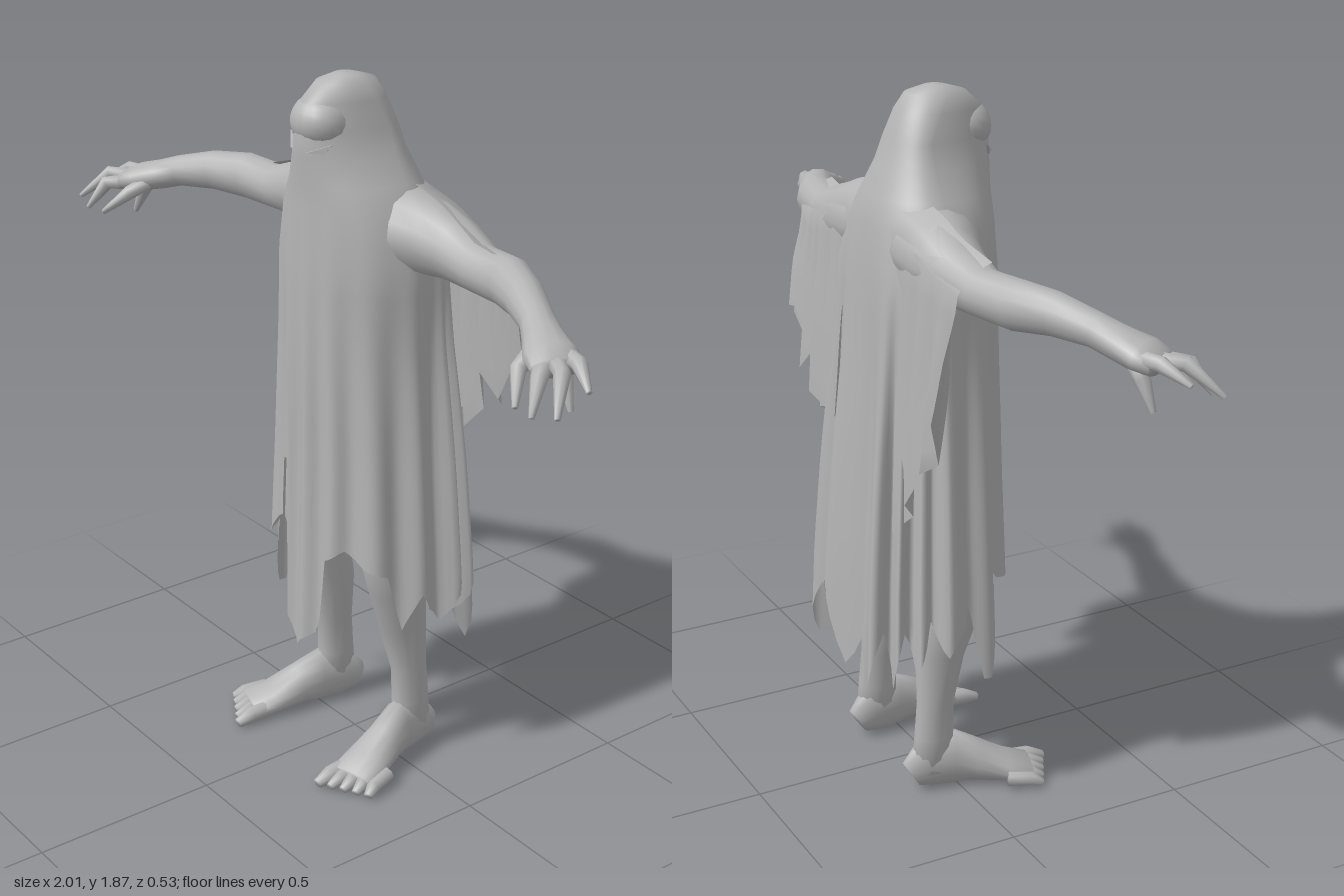
import * as THREE from 'three';

const V = (x, y, z) => new THREE.Vector3(x, y, z);
const lerp = THREE.MathUtils.lerp;
const smooth = THREE.MathUtils.smoothstep;

// Linear interpolation in a table whose first column rises
function lookup(table, t, col) {
  for (let i = 1; i < table.length; i++) {
    const a = table[i - 1], b = table[i];
    if (t <= b[0]) return lerp(a[col], b[col], Math.max(0, (t - a[0]) / (b[0] - a[0])));
  }
  return table[table.length - 1][col];
}

// Skin over rows of points, optionally closed into rings
function skin(rows, closed) {
  const n = rows[0].length, index = [];
  for (let j = 0; j < rows.length - 1; j++) {
    for (let i = 0; i < (closed ? n : n - 1); i++) {
      const k = (i + 1) % n;
      const a = j * n + i, b = j * n + k, c = a + n, d = b + n;
      index.push(a, c, b, b, c, d);
    }
  }
  const g = new THREE.BufferGeometry().setFromPoints(rows.flat());
  g.setIndex(index);
  g.computeVertexNormals();
  return g;
}

// Tapered limb: sections are [x, y, z, half width, half depth]
function limb(sections, ref, sides, s) {
  const pts = sections.map(p => V(p[0] * s, p[1], p[2]));
  const rows = pts.map((c, i) => {
    const t = pts[Math.min(i + 1, pts.length - 1)].clone().sub(pts[Math.max(i - 1, 0)]).normalize();
    const side = t.clone().cross(ref).normalize();
    const up = side.clone().cross(t);
    return Array.from({ length: sides }, (_, k) => {
      const a = k / sides * Math.PI * 2;
      return c.clone().addScaledVector(side, Math.cos(a) * sections[i][3])
        .addScaledVector(up, Math.sin(a) * sections[i][4]);
    });
  });
  rows.unshift(rows[0].map(() => pts[0].clone()));
  rows.push(rows[0].map(() => pts[pts.length - 1].clone()));
  return skin(rows, true);
}

// Shroud cross-sections: [depth below 2, half width, front z, back z]
const PROFILE = [
  [0.125, 0.03, 0.06, 0.0], [0.14, 0.062, 0.11, -0.05], [0.18, 0.082, 0.155, -0.075],
  [0.25, 0.1, 0.175, -0.1], [0.31, 0.122, 0.175, -0.12], [0.38, 0.165, 0.17, -0.15],
  [0.45, 0.21, 0.17, -0.17], [0.58, 0.235, 0.175, -0.18], [0.8, 0.24, 0.175, -0.19],
  [1.1, 0.26, 0.175, -0.21], [1.4, 0.28, 0.185, -0.23], [1.7, 0.295, 0.195, -0.24],
];

// Ragged hem: [degrees from the front, height]
const HEM = [
  [-180, 0.34], [-168, 0.55], [-160, 0.35], [-150, 0.5], [-142, 0.33], [-130, 0.52],
  [-120, 0.4], [-108, 0.55], [-98, 0.45], [-84, 0.58], [-75, 0.36], [-69, 0.36],
  [-56, 0.64], [-48, 0.6], [-38, 0.59], [-28, 0.67], [-20, 0.6], [-15, 0.86],
  [-12.5, 0.86], [-10, 0.4], [-3, 0.32], [4, 0.36], [14, 0.4], [20, 0.62], [32, 0.66],
  [45, 0.62], [60, 0.6], [70, 0.44], [82, 0.55], [98, 0.43], [108, 0.55], [118, 0.43],
  [128, 0.55], [140, 0.32], [150, 0.5], [160, 0.36], [170, 0.56], [180, 0.34],
];

function shroudGeometry() {
  const n = 144, waist = 1.42, lower = 12;
  const tops = PROFILE.slice(0, 8).map(p => 2 - p[0]);
  const rows = [Array.from({ length: n }, () => V(0, 1.877, 0.03))];
  for (let j = 0; j < tops.length + lower; j++) {
    rows.push(Array.from({ length: n }, (_, i) => {
      const a = (i / n * 2 - 1) * Math.PI, s = Math.sin(a), c = Math.cos(a);
      const hem = lookup(HEM, a * 180 / Math.PI, 1);
      const y = j < tops.length ? tops[j] : lerp(waist, hem, (j - tops.length + 1) / lower);
      const [w, zf, zb] = [1, 2, 3].map(k => lookup(PROFILE, 2 - y, k));
      const z0 = lerp(0.03, -0.03, smooth(2 - y, 0.125, 0.25));
      // Pleats deepen downwards and are strongest at the back
      const back = smooth(-c, -0.2, 0.5);
      const depth = smooth(1.6 - y, 0, 0.8) * lerp(0.05, 0.12, back);
      const f = 1 + depth * Math.sin(15 * a + 1.4 * Math.sin(3 * a));
      // The back half is broader and flatter below the shoulders
      const e = c < 0 ? 1 - 0.32 * smooth(2 - y, 0.35, 0.6) : 1;
      const x = w * Math.sign(s) * Math.abs(s) ** e;
      return V(x * f, y, z0 + (c > 0 ? zf - z0 : zb - z0) * Math.abs(c) ** e * f);
    }));
  }
  return skin(rows, true);
}

// Height of the cloth over the shoulder and arm: [distance from the middle, y]
const SHOULDER = [[0.1, 1.63], [0.2, 1.608], [0.24, 1.598], [0.32, 1.568], [0.42, 1.537], [0.54, 1.537]];

// Cloth laid over an arm and hanging behind it: columns are [top x, hem x, hem y]
function drapeGeometry(columns) {
  const over = [[0, -0.06], [0.025, -0.128], [0.07, -0.152]];
  const column = ([xt, xb, hem], i) => {
    const top = lookup(SHOULDER, Math.abs(xt), 1);
    const shift = Math.max(0, Math.abs(xt) - 0.3) * 0.2;
    const points = over.map(([dy, z]) => V(xt, top - dy, z + shift));
    for (let j = 1; j <= 8; j++) {
      const t = j / 8;
      const fold = (i % 2 ? 0.02 : -0.02) * smooth(t, 0, 0.6);
      points.push(V(lerp(xt, xb, t * t), lerp(top - 0.07, hem, t), -0.152 + shift - 0.03 * t + fold));
    }
    return points;
  };
  const cols = columns.map(column);
  return skin(cols[0].map((_, j) => cols.map(c => c[j])), false);
}

export function createModel() {
  const model = new THREE.Group();
  model.name = 'shroudedFigure';
  const grey = new THREE.MeshStandardMaterial({ color: 0xb4b4b4, side: THREE.DoubleSide });
  grey.name = 'grey';
  const add = (name, geometry, parent = model) => {
    const m = new THREE.Mesh(geometry, grey);
    m.name = name;
    parent.add(m);
    return m;
  };
  const Y = V(0, 1, 0), Z = V(0, 0, 1);

  add('shroud', shroudGeometry());

  // Veiled forehead
  const brow = add('forehead', new THREE.SphereGeometry(1, 20, 14));
  brow.scale.set(0.08, 0.07, 0.078);
  brow.position.set(0, 1.768, 0.102);

  // Sleeve drapes of different length
  add('leftDrape', drapeGeometry([
    [0.1, 0.12, 1.0], [0.16, 0.17, 1.0], [0.2, 0.21, 1.0], [0.24, 0.25, 0.97],
    [0.28, 0.28, 1.02], [0.32, 0.31, 1.14], [0.35, 0.36, 1.06], [0.39, 0.4, 1.1],
    [0.42, 0.42, 1.2], [0.45, 0.45, 1.19], [0.48, 0.48, 1.2], [0.5, 0.5, 1.28],
  ]));
  add('rightDrape', drapeGeometry([
    [-0.1, -0.12, 0.8], [-0.16, -0.17, 0.8], [-0.2, -0.21, 0.8], [-0.24, -0.25, 0.85],
    [-0.28, -0.28, 0.9], [-0.32, -0.31, 1.0], [-0.36, -0.335, 1.0], [-0.39, -0.35, 1.02],
    [-0.415, -0.375, 1.14],
  ]));

  for (const s of [1, -1]) {
    const name = s > 0 ? 'left' : 'right';

    // Scowling eye slit
    const eye = add(name + 'Eye', new THREE.ExtrudeGeometry(
      new THREE.Shape([[-0.034, -0.014], [0.034, 0.012], [0.012, -0.014]]
        .map(([x, y]) => new THREE.Vector2(x * s, y))), { depth: 0.006, bevelEnabled: false }));
    eye.position.set(0.056 * s, 1.718, 0.15);
    eye.rotation.y = 0.62 * s;

    // Arm, from within the shoulder out to the palm
    const arm = new THREE.Group();
    arm.name = name + 'Arm';
    model.add(arm);
    add('armAndPalm', limb([
      [0.06, 1.515, -0.03, 0.11, 0.1], [0.16, 1.505, -0.05, 0.115, 0.105],
      [0.24, 1.495, -0.065, 0.095, 0.095], [0.32, 1.485, -0.07, 0.078, 0.078],
      [0.42, 1.468, -0.06, 0.062, 0.06], [0.54, 1.472, -0.045, 0.058, 0.062],
      [0.64, 1.472, 0.0, 0.05, 0.053], [0.74, 1.455, 0.048, 0.042, 0.042],
      [0.79, 1.438, 0.075, 0.05, 0.04], [0.85, 1.422, 0.105, 0.066, 0.038],
      [0.89, 1.41, 0.125, 0.062, 0.028],
    ], Y, 14, s), arm);

    // Four fingers and a thumb: base, knuckle, tip
    [
      [[0.86, 1.422, 0.075], [0.93, 1.425, 0.095], [1.0, 1.39, 0.13]],
      [[0.87, 1.415, 0.11], [0.94, 1.42, 0.155], [1.0, 1.35, 0.22]],
      [[0.86, 1.41, 0.14], [0.905, 1.405, 0.19], [0.935, 1.335, 0.235]],
      [[0.85, 1.41, 0.08], [0.875, 1.375, 0.085], [0.91, 1.305, 0.095]],
      [[0.8, 1.425, 0.105], [0.815, 1.395, 0.17], [0.87, 1.335, 0.225]],
    ].forEach(([a, b, c]) => add('finger', limb([
      [...a, 0.024, 0.022], [...b, 0.02, 0.02], [...c, 0.007, 0.007],
    ], Y, 8, s), arm));

    // Leg, thigh to ankle
    add(name + 'Leg', limb([
      [0.14, 0.95, 0.0, 0.08, 0.09], [0.17, 0.64, 0.015, 0.074, 0.092],
      [0.17, 0.53, -0.01, 0.066, 0.084], [0.16, 0.4, -0.038, 0.056, 0.07],
      [0.168, 0.26, -0.055, 0.043, 0.052], [0.17, 0.16, -0.06, 0.041, 0.056],
      [0.17, 0.06, -0.06, 0.042, 0.064],
    ], Z, 14, s));

    // Foot turned slightly out, with five toes
    const foot = new THREE.Group();
    foot.name = name + 'Foot';
    model.add(foot);
    add('sole', limb([
      [0.163, 0.05, -0.125, 0.03, 0.042], [0.166, 0.075, -0.085, 0.042, 0.07],
      [0.178, 0.085, -0.01, 0.046, 0.08], [0.196, 0.068, 0.05, 0.053, 0.06],
      [0.218, 0.043, 0.13, 0.068, 0.037], [0.236, 0.032, 0.195, 0.07, 0.024],
    ], Y, 14, s), foot);
    for (let k = 0; k < 5; k++) {
      const r = k === 0 ? 0.024 : 0.02;
      add('toe', limb([
        [0.185 + 0.025 * k, 0.036, 0.155 - 0.012 * k, r, r],
        [0.187 + 0.029 * k, 0.03, 0.225 - 0.014 * k, r, r * 0.95],
        [0.188 + 0.032 * k, 0.018, 0.268 - 0.018 * k, r * 0.65, r * 0.5],
      ], Y, 8, s), foot);
    }
  }
  return model;
}
